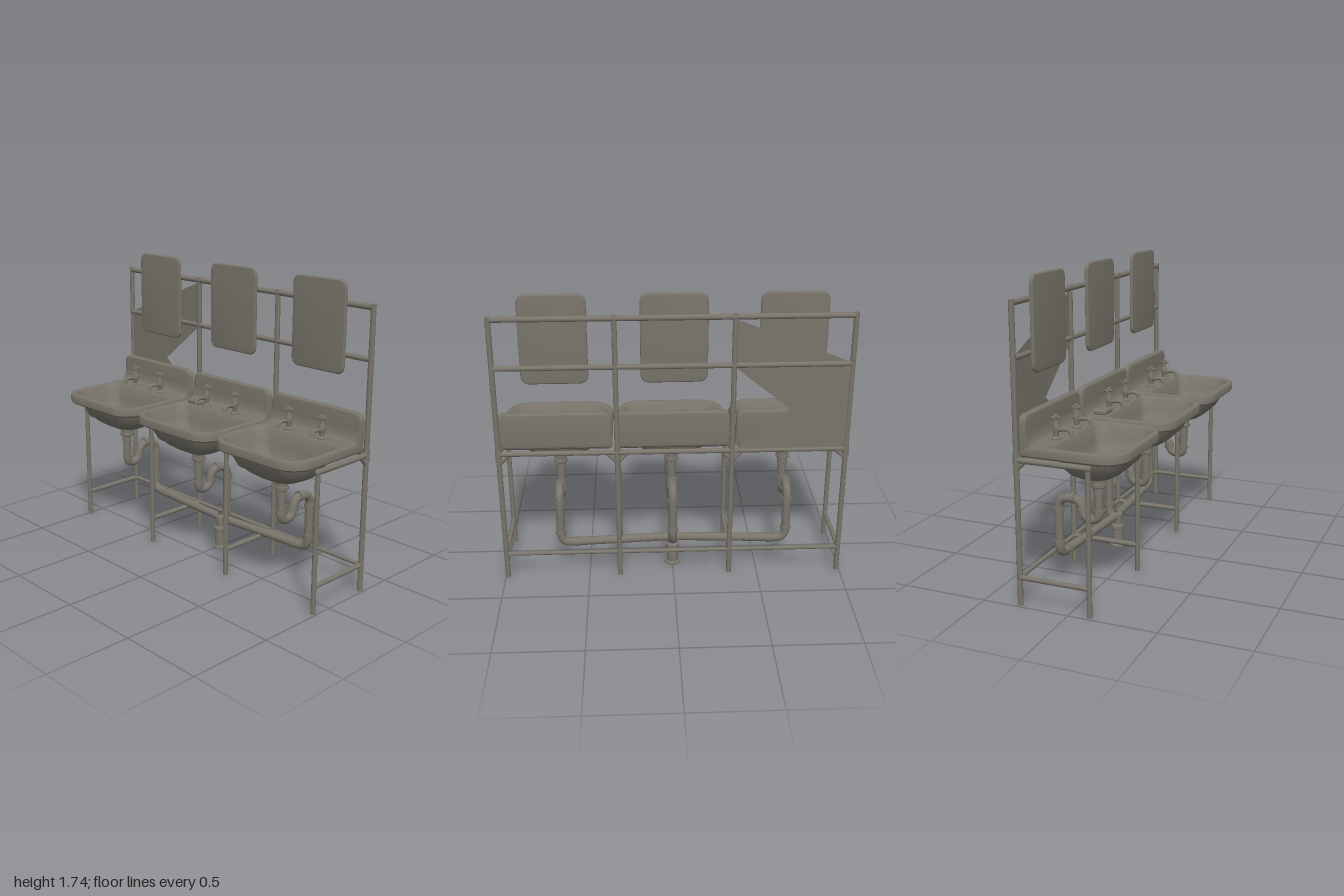
import * as THREE from 'three';
import { toCreasedNormals } from 'three/addons/utils/BufferGeometryUtils.js';
import { RoundedBoxGeometry } from 'three/addons/geometries/RoundedBoxGeometry.js';

const V = (x, y, z) => new THREE.Vector3(x, y, z);

export function createModel() {
  const root = new THREE.Group();
  root.name = 'washbasinRow';
  const grey = new THREE.MeshStandardMaterial({ color: 0x78746a, side: THREE.DoubleSide });
  grey.name = 'warm grey';

  const add = (name, geo, parent = root) => {
    const m = new THREE.Mesh(geo, grey);
    m.name = name;
    parent.add(m);
    return m;
  };
  // straight round bar between two points
  const bar = (name, a, b, r, parent = root, r2 = r) => {
    const d = b.clone().sub(a);
    const m = add(name, new THREE.CylinderGeometry(r2, r, d.length(), 14), parent);
    m.position.copy(a).addScaledVector(d, 0.5);
    m.quaternion.setFromUnitVectors(V(0, 1, 0), d.normalize());
    return m;
  };
  const lathe = (name, pts, parent) =>
    add(name, toCreasedNormals(new THREE.LatheGeometry(pts.map(p => new THREE.Vector2(...p)), 20), 0.6), parent);
  // bent pipe with rounded corners of radius r at each listed point
  const pipe = (name, pts, radius, bend, parent) => {
    const path = new THREE.CurvePath();
    let last = pts[0];
    for (let i = 1; i < pts.length - 1; i++) {
      const p = pts[i];
      const toPrev = pts[i - 1].clone().sub(p), toNext = pts[i + 1].clone().sub(p);
      const c = Math.min(bend, toPrev.length() * 0.49, toNext.length() * 0.49);
      const a = p.clone().addScaledVector(toPrev.normalize(), c);
      const b = p.clone().addScaledVector(toNext.normalize(), c);
      path.add(new THREE.LineCurve3(last, a));
      path.add(new THREE.QuadraticBezierCurve3(a, p, b));
      last = b;
    }
    path.add(new THREE.LineCurve3(last, pts[pts.length - 1]));
    return add(name, new THREE.TubeGeometry(path, 110, radius, 14), parent);
  };
  const roundedPlate = (w, h, r, depth, bevel) => {
    const s = new THREE.Shape(), x = w / 2 - bevel, y = h / 2 - bevel;
    s.moveTo(-x + r, -y).lineTo(x - r, -y).quadraticCurveTo(x, -y, x, -y + r);
    s.lineTo(x, y - r).quadraticCurveTo(x, y, x - r, y);
    s.lineTo(-x + r, y).quadraticCurveTo(-x, y, -x, y - r);
    s.lineTo(-x, -y + r).quadraticCurveTo(-x, -y, -x + r, -y);
    const g = new THREE.ExtrudeGeometry(s, {
      depth: depth - 2 * bevel, bevelSize: bevel, bevelThickness: bevel, bevelSegments: 3, curveSegments: 8,
    });
    g.translate(0, 0, -depth / 2 + bevel);
    return toCreasedNormals(g, 0.7);
  };

  // basin shell: rounded rectangles [y, halfWidth, zBack, zFront, backRadius, frontRadius]
  const rings = [
    [0.668, 0.03, 0.0, 0.07, 0.03, 0.03], [0.67, 0.06, -0.02, 0.09, 0.05, 0.05],
    [0.685, 0.13, -0.05, 0.14, 0.08, 0.09], [0.715, 0.19, -0.08, 0.185, 0.1, 0.12],
    [0.76, 0.24, -0.095, 0.225, 0.1, 0.13], [0.827, 0.262, -0.1, 0.25, 0.1, 0.13],
    [0.828, 0.31, -0.252, 0.29, 0.01, 0.13], [0.838, 0.32, -0.26, 0.3, 0.01, 0.14],
    [0.87, 0.32, -0.26, 0.3, 0.01, 0.14], [0.882, 0.315, -0.255, 0.295, 0.01, 0.135],
    [0.887, 0.3, -0.25, 0.28, 0.01, 0.125], [0.885, 0.288, -0.1, 0.266, 0.07, 0.115],
    [0.872, 0.278, -0.09, 0.256, 0.07, 0.11], [0.8, 0.258, -0.075, 0.235, 0.07, 0.11],
    [0.74, 0.225, -0.06, 0.21, 0.07, 0.1], [0.71, 0.15, -0.03, 0.15, 0.07, 0.08],
    [0.695, 0.03, 0.0, 0.07, 0.03, 0.03],
  ];
  const basinGeometry = () => {
    const pos = [], idx = [], K = 8, N = 4 * (K + 1);
    for (const [y, hx, z0, z1, rb, rf] of rings) {
      const corners = [[1, z1, rf], [-1, z1, rf], [-1, z0, rb], [1, z0, rb]];
      corners.forEach(([sx, z, r], c) => {
        const cz = c < 2 ? z - r : z + r;
        for (let k = 0; k <= K; k++) {
          const t = (c + k / K) * Math.PI / 2;
          pos.push(sx * (hx - r) + r * Math.cos(t), y, cz + r * Math.sin(t));
        }
      });
    }
    for (let i = 0; i < rings.length - 1; i++) for (let j = 0; j < N; j++) {
      const a = i * N + j, b = i * N + (j + 1) % N;
      idx.push(a, a + N, b, b, a + N, b + N);
    }
    const g = new THREE.BufferGeometry();
    g.setAttribute('position', new THREE.Float32BufferAttribute(pos, 3));
    g.setIndex(idx);
    return toCreasedNormals(g, 0.75);
  };

  // curved strip joining deck and splashback
  const cove = new THREE.Shape();
  cove.moveTo(0.25, 0.87).lineTo(0.19, 0.885).quadraticCurveTo(0.215, 0.89, 0.222, 0.95).lineTo(0.25, 0.95);

  const makeTap = (x, parent) => {
    const tap = new THREE.Group();
    tap.name = 'tap';
    tap.position.set(x, 0.885, -0.148);
    parent.add(tap);
    lathe('tapBody', [[0, 0], [0.026, 0], [0.026, 0.008], [0.014, 0.016], [0.016, 0.04], [0.021, 0.055],
      [0.019, 0.07], [0.011, 0.088], [0.009, 0.11], [0.013, 0.118], [0.012, 0.13], [0, 0.136]], tap);
    pipe('tapSpout', [V(0, 0.045, 0), V(0, 0.058, 0.045), V(0, 0.055, 0.08), V(0, 0.025, 0.088)], 0.011, 0.02, tap);
    bar('tapHandle', V(-0.026, 0.115, 0), V(0.026, 0.115, 0), 0.007, tap);
    bar('tapHandle', V(0, 0.115, -0.026), V(0, 0.115, 0.026), 0.007, tap);
  };

  // three washbasins with taps, drain and trap
  for (const cx of [-0.675, 0, 0.665]) {
    const unit = new THREE.Group();
    unit.name = 'washbasin';
    unit.position.x = cx;
    root.add(unit);
    add('basin', basinGeometry(), unit);
    add('splashback', roundedPlate(0.64, 0.215, 0.04, 0.04, 0.01), unit).position.set(0, 0.9425, -0.242);
    const c = add('splashbackCove', toCreasedNormals(
      new THREE.ExtrudeGeometry(cove, { depth: 0.63, bevelEnabled: false, curveSegments: 8 }), 0.6), unit);
    c.rotation.y = Math.PI / 2;
    c.position.x = -0.315;
    c.scale.set(1, 1, 1);
    makeTap(-0.122, unit);
    makeTap(0.12, unit);

    // waste outlet
    lathe('wasteFitting', [[0, 0.69], [0.045, 0.69], [0.045, 0.655], [0.035, 0.65], [0.035, 0.63],
      [0.041, 0.628], [0.041, 0.612], [0.03, 0.605], [0.03, 0.57], [0, 0.57]], unit).position.z = 0.035;
    // trap and down pipe
    const pts = [V(0, 0.62, 0.035), V(0, 0.418, 0.035), V(0, 0.418, -0.055), V(0, 0.528, -0.075),
      V(0, 0.52, -0.207)];
    const s = -Math.sign(cx);
    if (s) pts.push(V(0, 0.185, -0.205), V(-cx - s * 0.03, 0.185, -0.165));
    else pts.push(V(0, 0.2, -0.207), V(0, 0.15, -0.15));
    pipe('wastePipe', pts, 0.025, 0.065, unit);
    for (const [y, z, dy, dz] of [[0.47, 0.035, 1, 0], [0.465, -0.063, 1, -0.2],
      [0.528, -0.115, 0, 1], [0.45, -0.207, 1, 0], [0.26, -0.207, 1, 0]]) {
      const d = V(0, dy, dz).normalize().multiplyScalar(0.01), p = V(0, y, z);
      bar('pipeCollar', p.clone().sub(d), p.clone().add(d), 0.031, unit);
    }
    if (s) bar('pipeCollar', V(s * 0.09, 0.185, -0.199), V(s * 0.11, 0.185, -0.198), 0.03, unit);
  }

  // central floor drain
  lathe('floorDrain', [[0, 0], [0.047, 0], [0.047, 0.01], [0.034, 0.014], [0.034, 0.105], [0.04, 0.11],
    [0.04, 0.13], [0.028, 0.14], [0.028, 0.2], [0, 0.21]]).position.z = -0.15;

  // soap block
  add('soap', new RoundedBoxGeometry(0.1, 0.028, 0.08, 3, 0.01)).position.set(-0.205, 0.898, -0.15);

  // mirrors, slightly raised border at front
  for (const x of [-0.655, -0.005, 0.65]) {
    add('mirror', roundedPlate(0.37, 0.51, 0.045, 0.022, 0.008)).position.set(x, 1.485, -0.253);
  }

  // tubular frame
  const xs = [-0.982, -0.332, 0.318, 0.985], zb = -0.285, zf = 0.118;
  for (const x of xs) {
    bar('backPost', V(x, 0.005, zb), V(x, 1.63, zb), 0.015);
    bar('frontPost', V(x, 0.005, zf), V(x, 0.81, zf), 0.014);
    bar('upperSideRail', V(x, 0.808, zb), V(x, 0.808, zf), 0.016);
    bar('lowerSideRail', V(x, 0.162, zb), V(x, 0.162, zf), 0.014);
    add('cornerJoint', new THREE.SphereGeometry(0.018, 12, 8)).position.set(x, 0.808, zf);
    bar('postSleeve', V(x, 0.77, zb), V(x, 0.845, zb), 0.018);
    bar('sideBrace', V(x, 0.76, zb + 0.005), V(x, 0.808, zb + 0.055), 0.011);
    for (const s of [-1, 1]) {
      if (Math.abs(x + s * 0.06) < 1) bar('cornerBrace', V(x, 0.755, zb), V(x + s * 0.06, 0.815, zb), 0.011);
    }
  }
  for (const [name, y, r] of [['topRail', 1.613, 0.016], ['mirrorRail', 1.335, 0.015],
    ['basinRail', 0.818, 0.015], ['lowerBackRail', 0.162, 0.012]]) {
    bar(name, V(xs[0], y, zb), V(xs[3], y, zb), r);
  }

  // folded sheet panels in the end bay
  const [l, r] = xs;
  const sheet = new THREE.BufferGeometry().setFromPoints([
    V(l, 1.34, zb), V(r, 1.325, zb), V(r, 1.6, zb),
    V(l, 0.8, zb + 0.004), V(r, 1.325, zb + 0.004), V(l, 1.34, zb + 0.004),
    V(l, 0.8, zb - 0.008), V(l, 1.34, zb - 0.008), V(r, 0.82, zb - 0.008),
  ]);
  sheet.computeVertexNormals();
  add('sheetPanel', sheet);

  return root;
}
